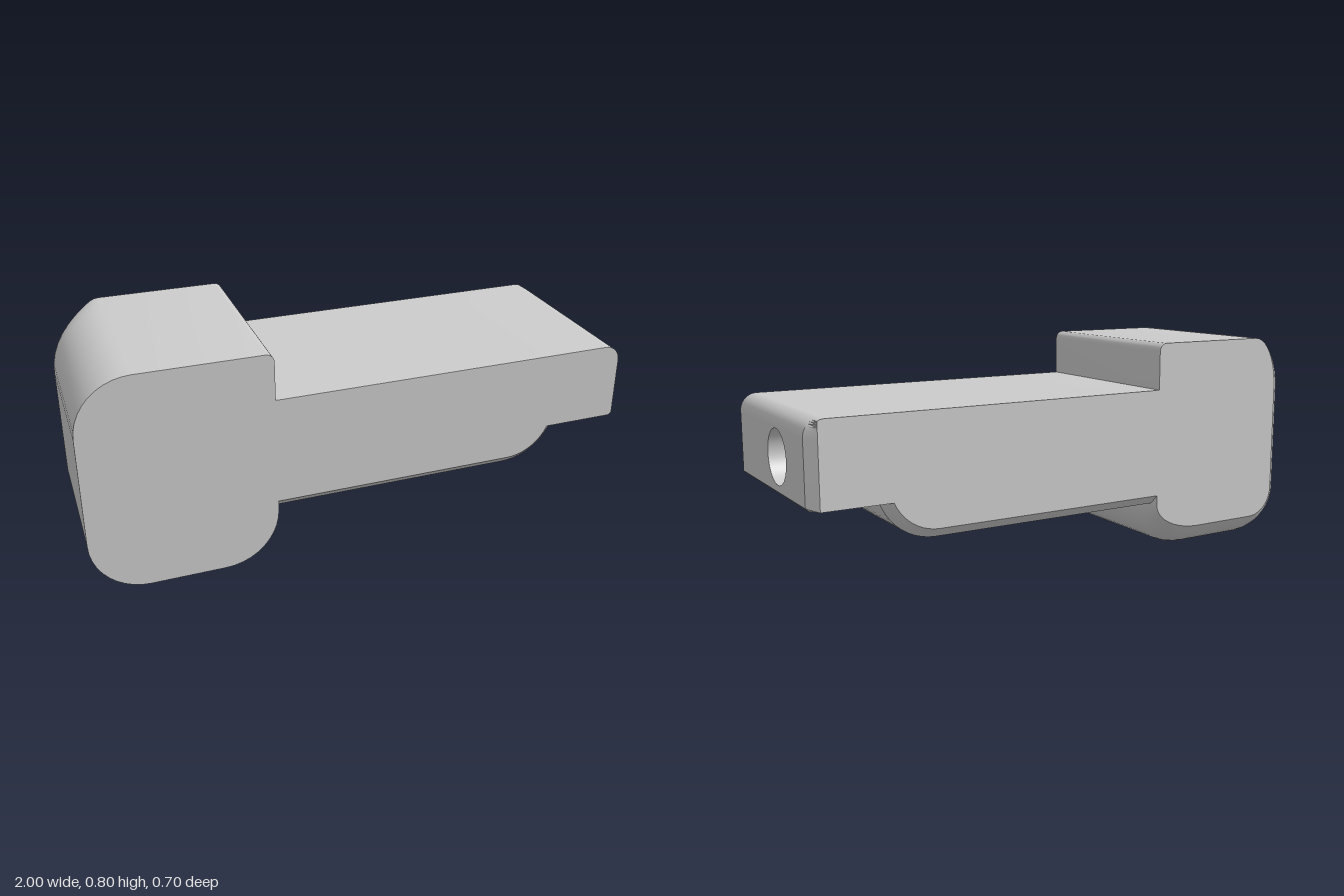
import * as THREE from 'three';
import { toCreasedNormals } from 'three/addons/utils/BufferGeometryUtils.js';

const material = new THREE.MeshStandardMaterial({ color: 0xcccccc });
const innerMaterial = new THREE.MeshStandardMaterial({ color: 0xcccccc, side: THREE.DoubleSide });

function part(name, geometry, mat = material) {
  const mesh = new THREE.Mesh(toCreasedNormals(geometry, 0.45), mat);
  mesh.name = name;
  return mesh;
}

// Points [x, y] along a circular arc
function arc(cx, cy, r, from, to, steps = 10) {
  return Array.from({ length: steps + 1 }, (_, i) => {
    const a = from + ((to - from) * i) / steps;
    return [cx + r * Math.cos(a), cy + r * Math.sin(a)];
  });
}

// Solid through counter-clockwise outlines stacked from back to front;
// skip(i, k) leaves out a side panel that is filled by a pierced face
function loft(sections, skip = () => false) {
  const n = sections[0].points.length;
  const positions = [];
  const index = [];
  for (const { z, points } of sections) for (const [x, y] of points) positions.push(x, y, z);
  for (let k = 0; k < sections.length - 1; k++) {
    for (let i = 0; i < n; i++) {
      if (skip(i, k)) continue;
      const j = (i + 1) % n;
      const a = k * n + i, b = k * n + j, c = b + n, d = a + n;
      index.push(a, b, c, a, c, d);
    }
  }
  const last = sections.length - 1;
  const cap = (k) =>
    THREE.ShapeUtils.triangulateShape(sections[k].points.map((p) => new THREE.Vector2(...p)), []);
  for (const [a, b, c] of cap(0)) index.push(a, c, b);
  for (const [a, b, c] of cap(last)) index.push(a + last * n, b + last * n, c + last * n);
  const geometry = new THREE.BufferGeometry();
  geometry.setAttribute('position', new THREE.Float32BufferAttribute(positions, 3));
  geometry.setIndex(index);
  return geometry;
}

function rectangle(x0, y0, x1, y1, Type = THREE.Shape) {
  return new Type([[x0, y0], [x1, y0], [x1, y1], [x0, y1]].map((p) => new THREE.Vector2(...p)));
}

// Inner surface of a blind hole, floor at 0 and opening at +y
function blindHole(radius, depth, segments, start = 0) {
  const profile = [[0, 0], [radius, 0], [radius, depth]].map((p) => new THREE.Vector2(...p));
  return new THREE.LatheGeometry(profile, segments, start);
}

// Head block: rounded outline, back edge rounded along the outer side and bottom
function headGeometry() {
  const P = Math.PI;
  const outline = [
    ...arc(-0.8, 0.2, 0.2, P, 1.5 * P),
    ...arc(-0.535, 0.2, 0.2, 1.5 * P, 2 * P),
    ...arc(-0.365, 0.77, 0.03, 0, P / 2, 6),
    ...arc(-0.8, 0.6, 0.2, P / 2, P),
  ];
  const sections = [];
  for (let k = 0; k <= 8; k++) {
    const t = 0.17 * (1 - k / 8);
    const s = Math.sqrt(0.04 - t * t) / 0.2;
    const points = outline.map(([x, y]) => [
      x < -0.8 ? -0.8 + (x + 0.8) * s : x,
      y < 0.2 ? 0.2 + (y - 0.2) * s : y,
    ]);
    sections.push({ z: -0.18 - t, points });
  }
  sections.push({ z: 0.35, points: outline });
  return loft(sections);
}

// Arm outline: belly of the given corner radius, end clipped at maxX
function armOutline(r, maxX = 1) {
  return [
    [-0.335, 0.41 - r],
    ...arc(0.56, 0.41, r, -Math.PI / 2, Math.asin(-0.07 / r)),
    [0.99, 0.34],
    [1, 0.35],
    ...arc(0.94, 0.57, 0.06, 0, Math.PI / 2),
  ].concat([[-0.335, 0.63]]).map(([x, y]) => [Math.min(x, maxX), y]);
}

export function createModel() {
  const group = new THREE.Group();
  group.add(part('head', headGeometry()));

  // Arm with chamfered belly edges and a chamfered back corner at its end
  const BELLY = 0, END = 13;
  const arm = loft(
    [
      { z: -0.35, points: armOutline(0.175, 0.965) },
      { z: -0.315, points: armOutline(0.21) },
      { z: 0.315, points: armOutline(0.21) },
      { z: 0.35, points: armOutline(0.175) },
    ],
    (i, k) => (i === BELLY && k === 1) || (i === END && k > 0)
  );
  group.add(part('arm', arm));

  // End face with its round hole
  const endShape = rectangle(-0.35, 0.35, 0.315, 0.57);
  endShape.holes.push(new THREE.Path().absarc(0.05, 0.468, 0.095, 0, Math.PI * 2, true));
  const endFace = new THREE.ShapeGeometry(endShape, 24).rotateY(Math.PI / 2).translate(1, 0, 0);
  group.add(part('endFace', endFace));
  const bore = blindHole(0.095, 0.7, 48).rotateZ(-Math.PI / 2).translate(0.3, 0.468, -0.05);
  group.add(part('endHole', bore, innerMaterial));

  // Underside with its rectangular pocket
  const bellyShape = rectangle(-0.335, -0.315, 0.56, 0.315);
  bellyShape.holes.push(rectangle(-0.16, -0.085, 0.12, 0.13, THREE.Path));
  const underside = new THREE.ShapeGeometry(bellyShape).rotateX(Math.PI / 2).translate(0, 0.2, 0);
  group.add(part('underside', underside));
  const pocket = blindHole(Math.SQRT1_2, 0.3, 4, Math.PI / 4)
    .scale(0.28, 1, 0.215)
    .rotateX(Math.PI)
    .translate(-0.02, 0.5, 0.0225);
  group.add(part('pocket', pocket, innerMaterial));

  return group;
}
